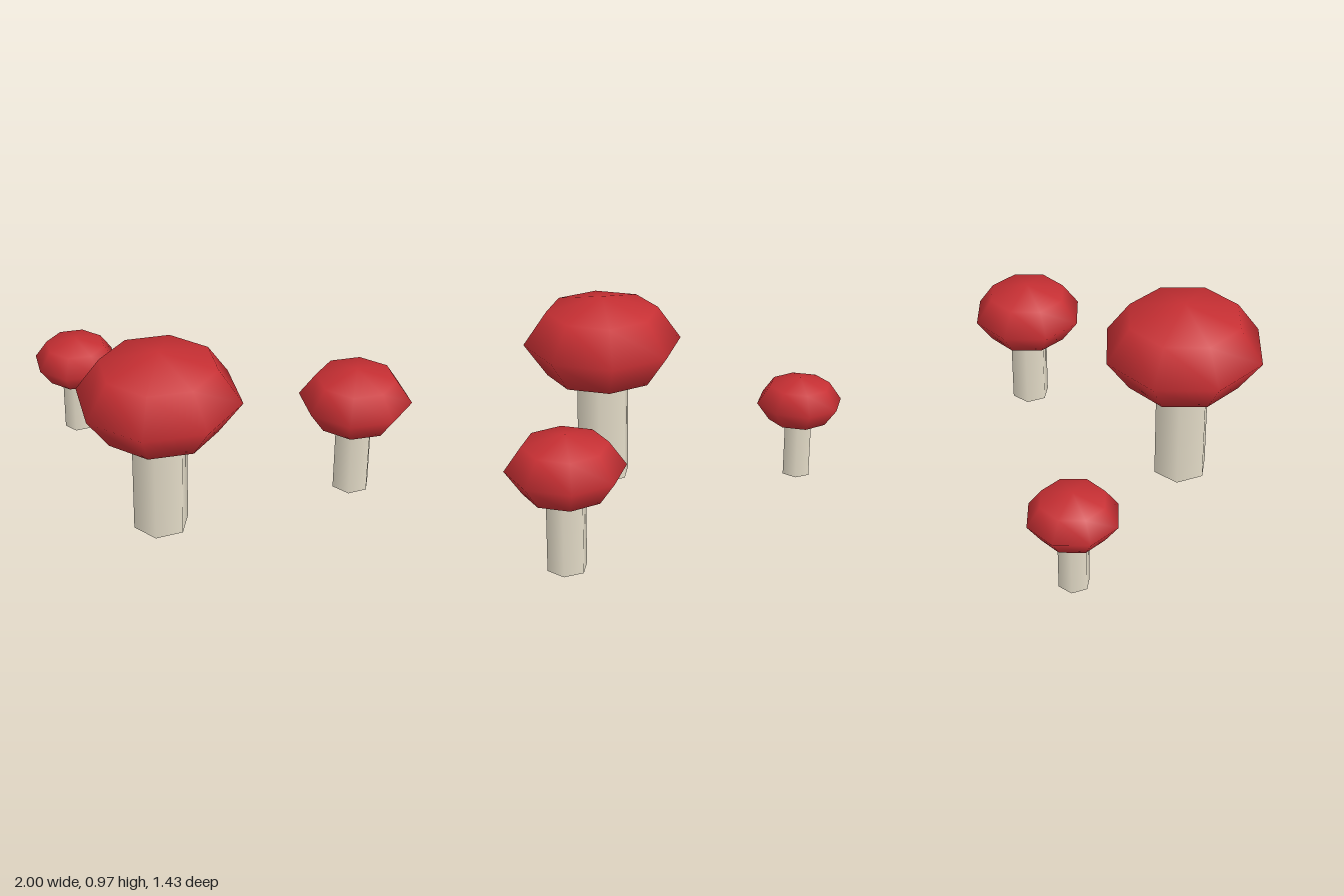
import * as THREE from 'three';

const capMaterial = new THREE.MeshStandardMaterial({ color: 0xc62f33 });
const stemMaterial = new THREE.MeshStandardMaterial({ color: 0xe4dcc8 });

// One mushroom of cap radius 1, standing on y = 0, scaled by r
function createMushroom(name, r, x, z) {
  const mushroom = new THREE.Group();
  mushroom.name = name;

  // Six-sided stem, ending inside the cap
  const stemHeight = 1.5;
  const stem = new THREE.Mesh(new THREE.CylinderGeometry(0.35, 0.35, stemHeight, 6), stemMaterial);
  stem.name = 'stem';
  stem.position.y = stemHeight / 2;

  // Flattened low-poly cap
  const cap = new THREE.Mesh(new THREE.SphereGeometry(1, 8, 4), capMaterial);
  cap.name = 'cap';
  cap.scale.y = 0.6;
  cap.position.y = 1.825;

  mushroom.add(stem, cap);
  mushroom.scale.setScalar(r);
  mushroom.position.set(x, 0, z);
  return mushroom;
}

export function createModel() {
  const model = new THREE.Group();
  model.name = 'mushroomCluster';
  model.add(
    createMushroom('largeMushroom', 0.4, -0.174, 0.311),
    createMushroom('mediumMushroom', 0.28, 0.717, -0.174),
    createMushroom('smallMushroom', 0.22, -0.78, -0.495),
  );
  return model;
}
